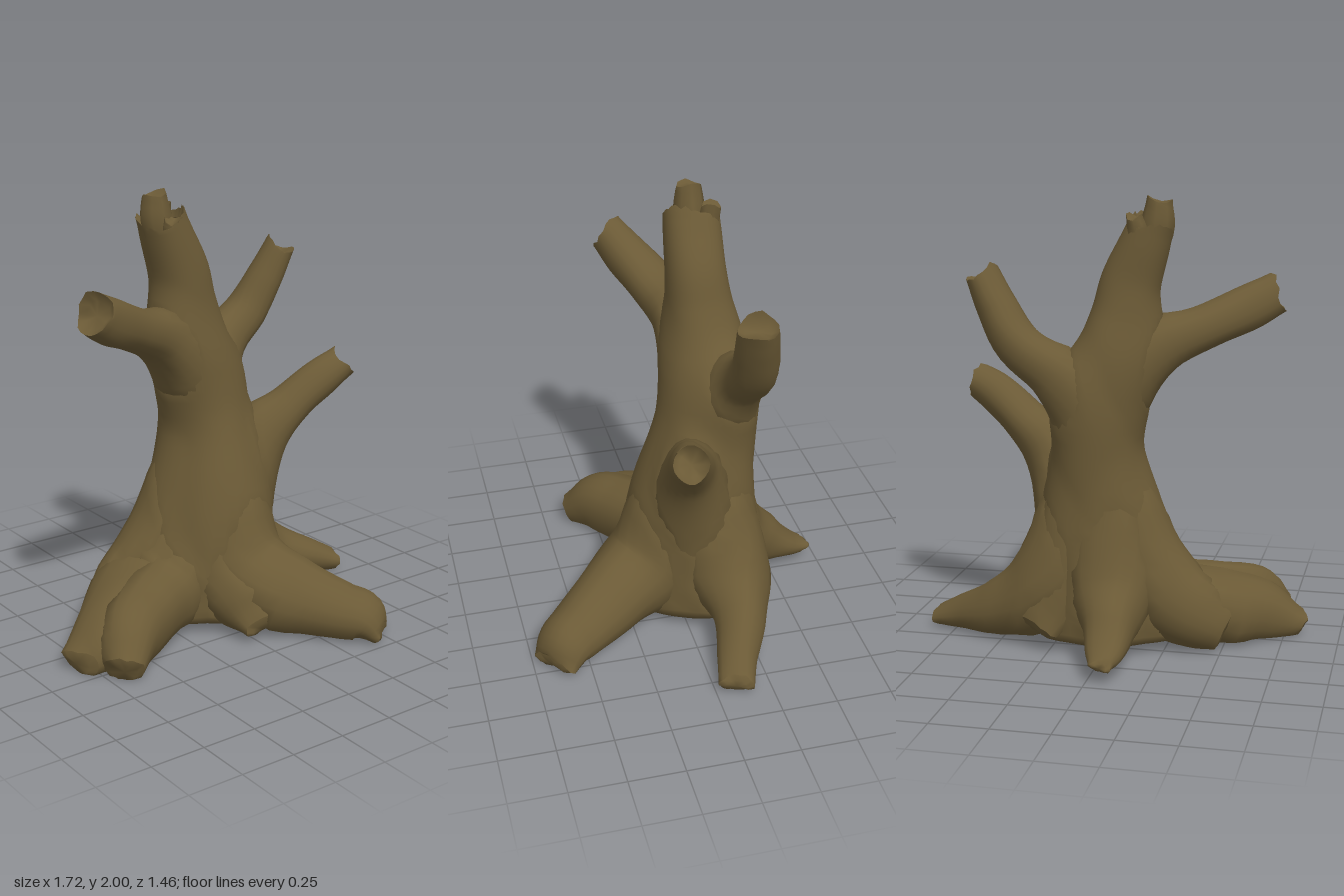
import * as THREE from 'three';

const bark = new THREE.MeshStandardMaterial({ color: 0x6b5a36 });
bark.name = 'bark';

const UP = new THREE.Vector3(0, 1, 0);
const FORWARD = new THREE.Vector3(0, 0, 1);
const BLEND = 0.14;

// Underside rises gently towards the middle of the stump
const floorAt = (x, z) => 0.06 * Math.max(0, 1 - Math.hypot(x, z) / 0.65);

function noise(seed) {
  let s = seed * 7919 + 17;
  return () => (s = (s * 16807) % 2147483647) / 2147483647;
}

const curve = points => new THREE.CatmullRomCurve3(points, false, 'catmullrom', 0.5);
const pathOf = rows => curve(rows.map(r => new THREE.Vector3(r[0], r[1], r[2])));
const sizeOf = rows => curve(rows.map(r => new THREE.Vector3(r[3], r[4], 0)));

// Row of balls filling a limb, used to find how near its surface is
function ballsOf(rows) {
  const path = pathOf(rows), size = sizeOf(rows), n = rows.length * 5;
  return Array.from({ length: n + 1 }, (_, i) => {
    const s = size.getPoint(i / n);
    return { c: path.getPoint(i / n), r: (s.x + s.y) / 2 };
  });
}

// Swelling that fillets a surface where it meets its neighbours
function fillet(p, balls) {
  let d = BLEND;
  for (const b of balls) d = Math.min(d, p.distanceTo(b.c) - b.r);
  return Math.max(0, BLEND - Math.abs(d)) ** 2 / (4 * BLEND);
}

// Sweeps an elliptical, slightly ridged section along rows of [x, y, z, halfWidth, halfHeight].
// A broken end gets a ragged rim around a sunken cap.
function limb(name, rows, { ref = UP, sides = 18, ridge = 0.03, jag = 0, sink = 0, seed = 1, neighbours = [] }) {
  const path = pathOf(rows), size = sizeOf(rows);
  const rand = noise(seed);
  const rings = (rows.length - 1) * 5;
  const pos = [], index = [];
  const add = p => pos.push(p.x, Math.max(p.y, floorAt(p.x, p.z)), p.z) / 3 - 1;
  let rim = [], T, C;
  for (let i = 0; i <= rings; i++) {
    const t = i / rings;
    C = path.getPoint(t);
    T = path.getTangent(t);
    const s = size.getPoint(t);
    const V = ref.clone().addScaledVector(T, -ref.dot(T)).normalize();
    const U = V.clone().cross(T);
    rim = [];
    for (let j = 0; j < sides; j++) {
      const a = (j / sides) * Math.PI * 2;
      const k = 1 + ridge * Math.sin(4 * a + seed + t * 1.5);
      const out = U.clone().multiplyScalar(Math.cos(a) * s.x * k).addScaledVector(V, Math.sin(a) * s.y * k);
      const p = C.clone().add(out);
      p.addScaledVector(out.normalize(), fillet(p, neighbours));
      if (i === rings) p.addScaledVector(T, jag * (Math.sin(2 * a + seed) + rand() - 0.5));
      add(p);
      rim.push(p);
    }
  }
  for (let i = 0; i < rings; i++) {
    for (let j = 0; j < sides; j++) {
      const a = i * sides + j, b = i * sides + (j + 1) % sides;
      index.push(a, b, a + sides, b, b + sides, a + sides);
    }
  }
  // Start cap, then a separate rim and sunken inner ring so the break stays crisp
  const start = add(path.getPoint(0));
  const outer = rim.map(add)[0];
  const inner = rim.map(p => add(p.clone().lerp(C, 0.35).addScaledVector(T, -sink)))[0];
  const centre = add(C.clone().addScaledVector(T, -sink));
  for (let j = 0; j < sides; j++) {
    const n = (j + 1) % sides;
    index.push(start, n, j);
    index.push(outer + j, outer + n, inner + j, outer + n, inner + n, inner + j);
    index.push(centre, inner + j, inner + n);
  }
  const geo = new THREE.BufferGeometry();
  geo.setAttribute('position', new THREE.Float32BufferAttribute(pos, 3));
  geo.setIndex(index);
  geo.computeVertexNormals();
  const mesh = new THREE.Mesh(geo, bark);
  mesh.name = name;
  return mesh;
}

// Trunk, leaning to the right as it rises
const trunk = [
  [0.03, 0.05, -0.09, 0.32, 0.29], [0.03, 0.22, -0.09, 0.31, 0.285], [0.045, 0.42, -0.085, 0.285, 0.275],
  [0.065, 0.62, -0.09, 0.25, 0.26], [0.075, 0.87, -0.125, 0.195, 0.225], [0.06, 1.1, -0.15, 0.19, 0.2],
  [0.005, 1.3, -0.155, 0.165, 0.18], [-0.045, 1.48, -0.14, 0.147, 0.15], [-0.075, 1.63, -0.13, 0.135, 0.135],
  [-0.13, 1.78, -0.13, 0.115, 0.13], [-0.165, 1.88, -0.13, 0.1, 0.125],
];

// Splinters standing on the broken top
const splinters = [
  [[-0.12, 1.65, -0.13, 0.05, 0.05], [-0.185, 1.85, -0.13, 0.075, 0.07], [-0.2, 1.985, -0.13, 0.055, 0.055]],
  [[-0.07, 1.65, -0.16, 0.05, 0.05], [-0.115, 1.82, -0.195, 0.05, 0.05], [-0.105, 1.92, -0.21, 0.035, 0.045]],
  [[-0.1, 1.65, -0.08, 0.04, 0.04], [-0.15, 1.82, -0.06, 0.05, 0.045], [-0.16, 1.88, -0.045, 0.04, 0.04]],
];

// Branches growing out of the trunk
const branches = {
  rightBranch: [
    [0.06, 0.9, -0.14, 0.12, 0.11], [-0.02, 1.16, -0.13, 0.14, 0.13], [-0.2, 1.34, -0.09, 0.125, 0.115],
    [-0.4, 1.435, -0.01, 0.115, 0.1], [-0.56, 1.505, 0.07, 0.1, 0.105], [-0.675, 1.565, 0.125, 0.085, 0.095],
  ],
  leftUpperBranch: [
    [0.07, 0.75, -0.19, 0.12, 0.12], [0.1, 1.04, -0.21, 0.135, 0.13], [0.23, 1.22, -0.25, 0.115, 0.115],
    [0.4, 1.36, -0.26, 0.105, 0.1], [0.5, 1.52, -0.24, 0.095, 0.085], [0.57, 1.66, -0.22, 0.085, 0.07],
  ],
  leftLowerBranch: [
    [0.2, 0.3, -0.1, 0.13, 0.13], [0.22, 0.58, -0.06, 0.14, 0.15], [0.32, 0.83, -0.01, 0.12, 0.13],
    [0.46, 0.97, 0.03, 0.1, 0.1], [0.59, 1.07, 0.07, 0.085, 0.095], [0.7, 1.135, 0.09, 0.075, 0.08],
  ],
};

// Roots running down the trunk as buttresses and spreading over the ground
const roots = {
  frontLeftRoot: [
    [0.06, 0.9, -0.07, 0.09, 0.09], [0.08, 0.58, 0.0, 0.15, 0.16], [0.11, 0.28, 0.13, 0.19, 0.19],
    [0.22, 0.16, 0.33, 0.175, 0.185], [0.36, 0.105, 0.52, 0.145, 0.14], [0.43, 0.09, 0.6, 0.13, 0.115],
    [0.48, 0.03, 0.655, 0.11, 0.05],
  ],
  leftRoot: [
    [0.1, 0.85, -0.15, 0.09, 0.09], [0.18, 0.53, -0.16, 0.155, 0.155], [0.3, 0.27, -0.2, 0.17, 0.175],
    [0.5, 0.14, -0.2, 0.12, 0.135], [0.7, 0.08, -0.13, 0.09, 0.085], [0.83, 0.045, -0.09, 0.08, 0.05],
  ],
  backRoot: [
    [0.03, 0.9, -0.2, 0.09, 0.09], [0.0, 0.58, -0.22, 0.14, 0.12], [-0.03, 0.31, -0.31, 0.15, 0.13],
    [-0.05, 0.17, -0.46, 0.115, 0.12], [-0.06, 0.1, -0.6, 0.085, 0.06], [-0.06, 0.075, -0.69, 0.05, 0.03],
  ],
  rightRoot: [
    [0.02, 0.75, -0.13, 0.09, 0.09], [-0.07, 0.43, -0.12, 0.15, 0.16], [-0.26, 0.2, -0.1, 0.19, 0.16],
    [-0.46, 0.15, -0.02, 0.175, 0.155], [-0.65, 0.095, 0.09, 0.14, 0.13], [-0.81, 0.045, 0.15, 0.095, 0.06],
  ],
  rightForkRoot: [
    [0.0, 0.45, -0.08, 0.11, 0.13], [-0.2, 0.21, 0.0, 0.14, 0.15], [-0.42, 0.155, 0.12, 0.135, 0.155],
    [-0.58, 0.125, 0.23, 0.12, 0.15], [-0.69, 0.05, 0.34, 0.085, 0.08],
  ],
  rightShoulder: [
    [0.03, 0.88, -0.14, 0.09, 0.1], [-0.06, 0.56, -0.15, 0.14, 0.155], [-0.22, 0.3, -0.17, 0.155, 0.155],
    [-0.36, 0.165, -0.18, 0.13, 0.14], [-0.48, 0.08, -0.15, 0.095, 0.09],
  ],
  frontRoot: [
    [0.05, 0.8, -0.03, 0.08, 0.09], [0.01, 0.5, 0.03, 0.12, 0.12], [0.0, 0.26, 0.12, 0.13, 0.12],
    [0.02, 0.13, 0.25, 0.12, 0.12], [0.03, 0.06, 0.36, 0.09, 0.05],
  ],
  backLeftRoot: [
    [0.12, 0.85, -0.18, 0.09, 0.09], [0.18, 0.52, -0.2, 0.13, 0.12], [0.24, 0.26, -0.24, 0.13, 0.12],
    [0.31, 0.1, -0.33, 0.1, 0.07],
  ],
};

export function createModel() {
  const tree = new THREE.Group();
  tree.name = 'deadTree';

  const parts = [['trunk', trunk, { ref: FORWARD, sides: 36, ridge: 0.02, jag: 0.02, sink: 0.05 }]];
  for (const [name, rows] of Object.entries(branches)) parts.push([name, rows, { jag: 0.018, sink: 0.03 }]);
  for (const [name, rows] of Object.entries(roots)) parts.push([name, rows, { jag: 0.012, sink: -0.015 }]);

  const balls = parts.map(([, rows]) => ballsOf(rows));
  parts.forEach(([name, rows, options], i) => {
    const neighbours = balls.filter((_, j) => j !== i).flat();
    tree.add(limb(name, rows, { ...options, seed: 3 + i, neighbours }));
  });
  splinters.forEach((rows, i) => tree.add(limb('splinter' + (i + 1), rows,
    { ref: FORWARD, sides: 8, jag: 0.012, sink: 0.01, seed: 20 + i })));

  return tree;
}
